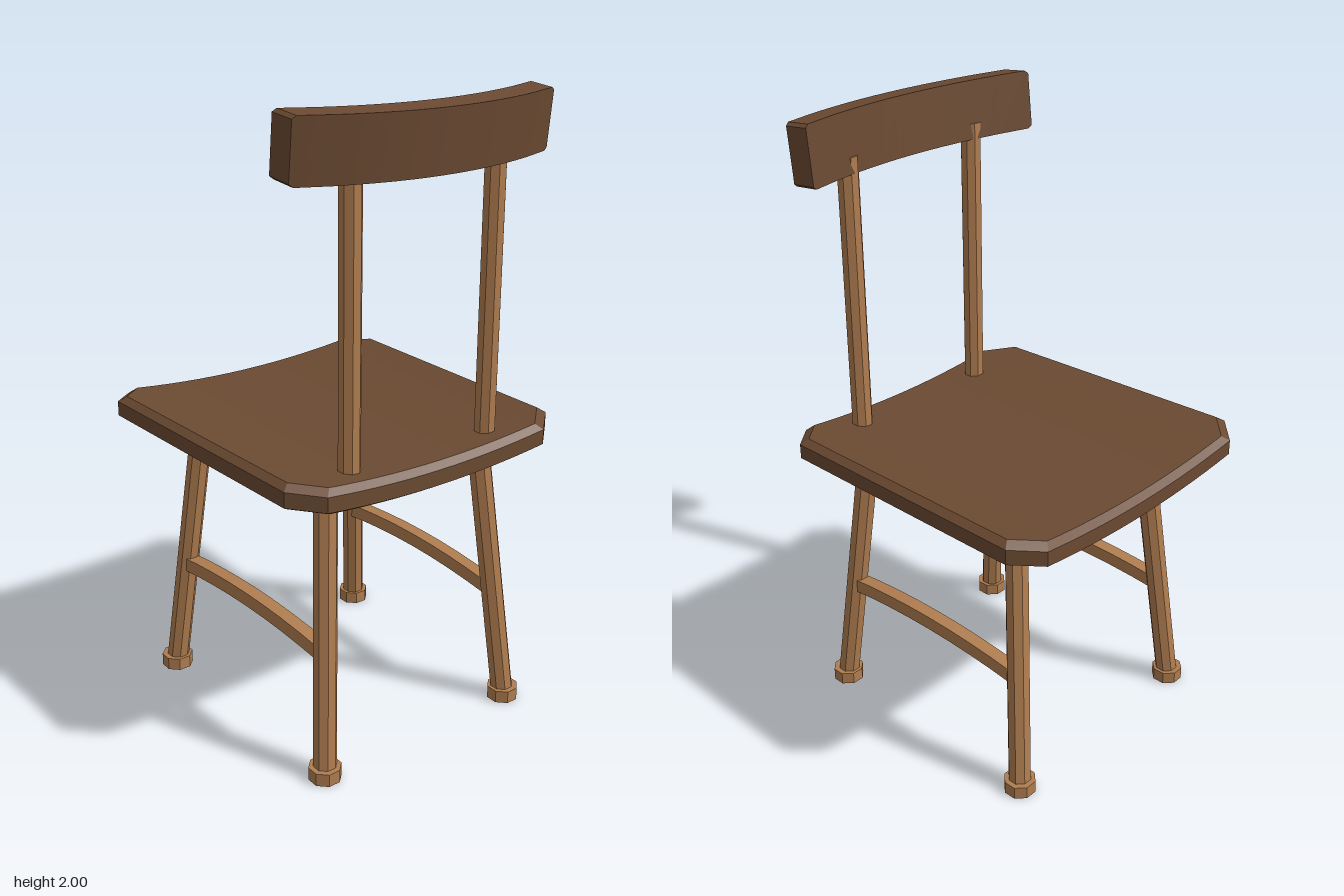
import * as THREE from 'three';
import { toCreasedNormals } from 'three/addons/utils/BufferGeometryUtils.js';

const V = (x, y, z) => new THREE.Vector3(x, y, z);
const darkWood = new THREE.MeshStandardMaterial({ color: 0x6b4a32 });
const lightWood = new THREE.MeshStandardMaterial({ color: 0xb07d50, flatShading: true });

function add(parent, name, geometry, material) {
  const mesh = new THREE.Mesh(geometry, material);
  mesh.name = name;
  parent.add(mesh);
  return mesh;
}

// Octagonal rod from a to b, flat sides facing the axes
function rod(parent, name, a, b, r) {
  const g = new THREE.CylinderGeometry(r, r, a.distanceTo(b), 8).rotateY(Math.PI / 8);
  const m = add(parent, name, g, lightWood);
  m.position.copy(a).lerp(b, 0.5);
  m.quaternion.setFromUnitVectors(V(0, 1, 0), b.clone().sub(a).normalize());
}

// Rectangular bar from a to b, optionally arched upwards
function bar(parent, name, a, b, w, h, arch) {
  const len = a.distanceTo(b);
  const g = new THREE.BoxGeometry(w, h, len, 1, 1, arch ? 8 : 1);
  const p = g.attributes.position;
  for (let i = 0; i < p.count; i++) {
    p.setY(i, p.getY(i) + arch * (1 - (2 * p.getZ(i) / len) ** 2));
  }
  const m = add(parent, name, g, lightWood);
  m.position.copy(a).lerp(b, 0.5);
  m.lookAt(b);
}

// Dished seat: stacked rings of a clipped, tapering outline, closed by strips
function seatGeometry() {
  const n = 14;
  const edge = (wide, narrow, zSide, zEnd) => {
    const pts = [[-wide, zSide]];
    for (let i = 0; i <= n; i++) pts.push([narrow * (2 * i / n - 1), zEnd]);
    return [...pts, [wide, zSide]];
  };
  const outline = [...edge(0.525, 0.44, -0.45, -0.53), ...edge(0.505, 0.415, 0.445, 0.525).reverse()];
  const count = outline.length;
  const pos = [], idx = [];
  // ring: height at the middle, x scale, z scale
  const rings = [[0.885, 0.953, 0.962], [0.897, 1, 1], [0.945, 1, 1], [0.965, 0.953, 0.962]];
  for (const [y, sx, sz] of rings) {
    for (const [x, z] of outline) pos.push(x * sx, y + 0.035 * (x * sx / 0.5) ** 2, z * sz);
  }
  for (let r = 0; r < 3; r++) {
    for (let i = 0; i < count; i++) {
      const a = r * count + i, b = r * count + (i + 1) % count;
      idx.push(a, a + count, b, b, a + count, b + count);
    }
  }
  const top = 3 * count;
  for (let i = 0; i < count / 2 - 1; i++) {
    const a = i, b = i + 1, c = count - 1 - i, d = count - 2 - i;
    idx.push(a, b, c, b, d, c);
    idx.push(top + a, top + c, top + b, top + b, top + c, top + d);
  }
  const g = new THREE.BufferGeometry();
  g.setAttribute('position', new THREE.Float32BufferAttribute(pos, 3));
  g.setIndex(idx);
  return toCreasedNormals(g, 0.4);
}

// Bowed backrest with eased ends
function backrestGeometry() {
  const half = 0.463, n = 16;
  const g = new THREE.BoxGeometry(2 * half, 0.185, 0.087, n, 1, 1);
  const p = g.attributes.position;
  for (let i = 0; i < p.count; i++) {
    let x = p.getX(i);
    const k = Math.round(Math.abs(x) / half * n / 2);
    if (k === n / 2) p.setY(i, p.getY(i) * 0.9);
    if (k === n / 2 - 1) x = Math.sign(x) * (half - 0.012);
    p.setX(i, x);
    p.setZ(i, p.getZ(i) + 0.08 * (1 - (x / half) ** 2));
  }
  return toCreasedNormals(g, 0.4);
}

export function createModel() {
  const chair = new THREE.Group();
  chair.name = 'chair';

  add(chair, 'seat', seatGeometry(), darkWood);

  const backrest = add(chair, 'backrest', backrestGeometry(), darkWood);
  backrest.position.set(0, 1.903, 0.39);
  backrest.rotation.x = 0.1;

  for (const s of [1, -1]) {
    const side = new THREE.Group();
    side.name = s > 0 ? 'leftSide' : 'rightSide';
    chair.add(side);

    rod(side, 'backPost', V(s * 0.262, 0.92, 0.423), V(s * 0.262, 1.86, 0.423), 0.034);

    // Splayed legs with octagonal feet; ends given as [bottom, top]
    const legs = {
      frontLeg: [V(s * 0.388, 0.01, -0.382), V(s * 0.307, 0.915, -0.292)],
      rearLeg: [V(s * 0.37, 0.01, 0.449), V(s * 0.297, 0.915, 0.358)],
    };
    for (const [name, [foot, top]] of Object.entries(legs)) {
      rod(side, name, foot, top, 0.037);
      const g = new THREE.CylinderGeometry(0.052, 0.052, 0.042, 8).rotateY(Math.PI / 8);
      add(side, name + 'Foot', g, lightWood).position.set(foot.x, 0.021, foot.z);
    }

    // Rails joining the front and rear legs
    const at = (name, y) => {
      const [a, b] = legs[name];
      return a.clone().lerp(b, (y - a.y) / (b.y - a.y));
    };
    bar(side, 'seatRail', at('frontLeg', 0.882), at('rearLeg', 0.882), 0.045, 0.04, 0);
    bar(side, 'stretcher', at('frontLeg', 0.4), at('rearLeg', 0.4), 0.045, 0.046, 0.024);
  }
  return chair;
}
